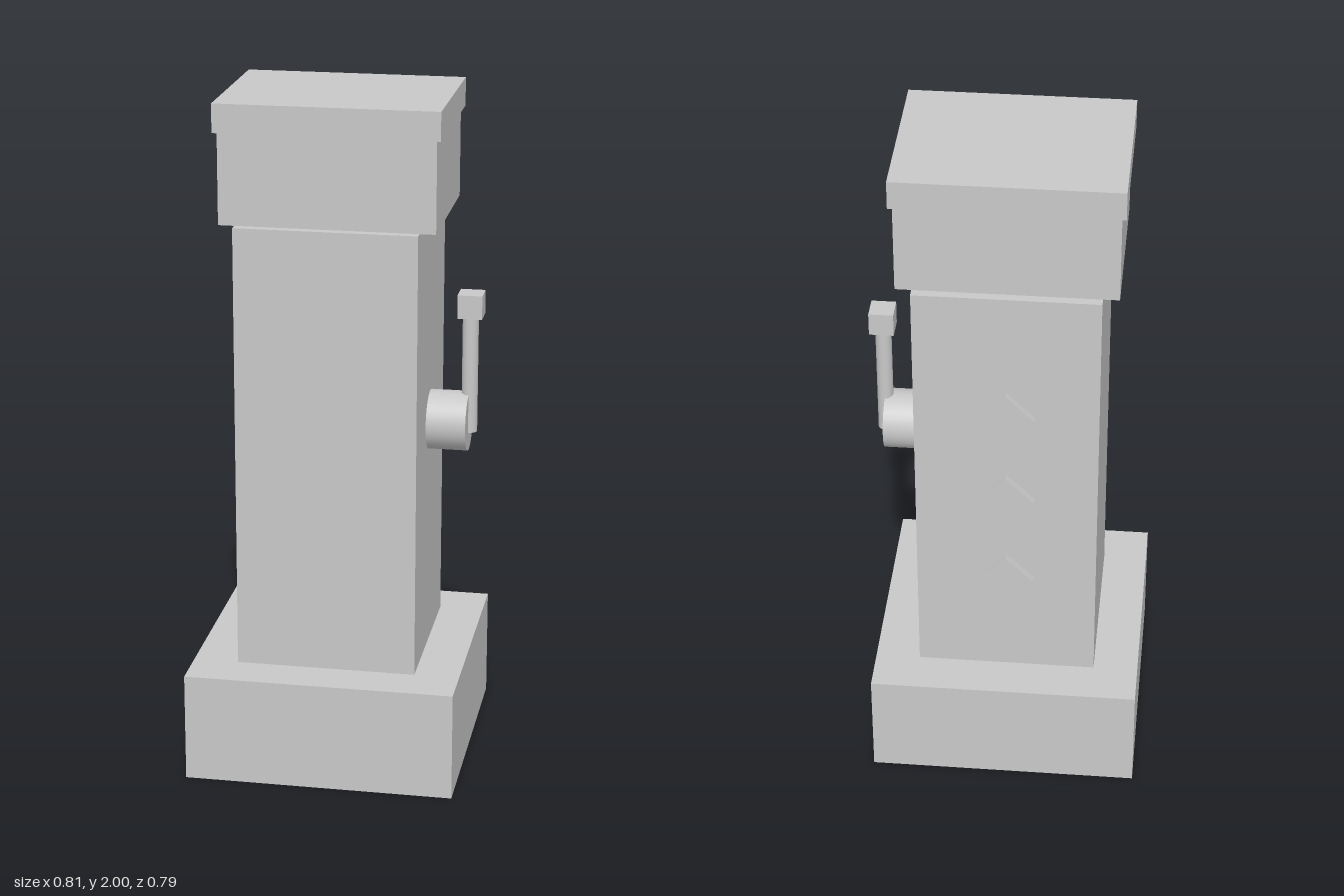
import * as THREE from 'three';

export function createModel() {
  const model = new THREE.Group();
  const grey = new THREE.MeshStandardMaterial({ color: 0xc8c8c8 });
  grey.name = 'light grey';

  const add = (name, geometry, x, y, z) => {
    const mesh = new THREE.Mesh(geometry, grey);
    mesh.name = name;
    mesh.position.set(x, y, z);
    model.add(mesh);
    return mesh;
  };
  // Box centred on the pillar axis, given its bottom and top heights
  const AXIS_X = -0.0125, AXIS_Z = -0.0015;
  const block = (name, width, depth, bottom, top) =>
    add(name, new THREE.BoxGeometry(width, top - bottom, depth), AXIS_X, (bottom + top) / 2, AXIS_Z);

  // Stacked pillar
  block('base', 0.794, 0.794, 0, 0.325);
  block('column', 0.529, 0.529, 0.325, 1.65);
  block('head', 0.622, 0.476, 1.65, 1.916);
  block('cap', 0.646, 0.498, 1.916, 2);

  // Lever on the model's left side
  const hub = add('leverHub', new THREE.CylinderGeometry(0.088, 0.088, 0.117, 32), 0.3095, 1.031, AXIS_Z);
  hub.rotation.z = Math.PI / 2;
  add('leverRod', new THREE.CylinderGeometry(0.0235, 0.0235, 0.355, 32), 0.3685, 1.1785, AXIS_Z);
  add('leverKnob', new THREE.BoxGeometry(0.072, 0.07, 0.072), 0.3695, 1.386, AXIS_Z);

  // Diamond studs down the back
  for (const y of [1.255, 0.963, 0.668]) {
    const stud = add('diamondStud', new THREE.BoxGeometry(0.116, 0.116, 0.024), AXIS_X, y, -0.277);
    stud.rotation.z = Math.PI / 4;
  }

  return model;
}
